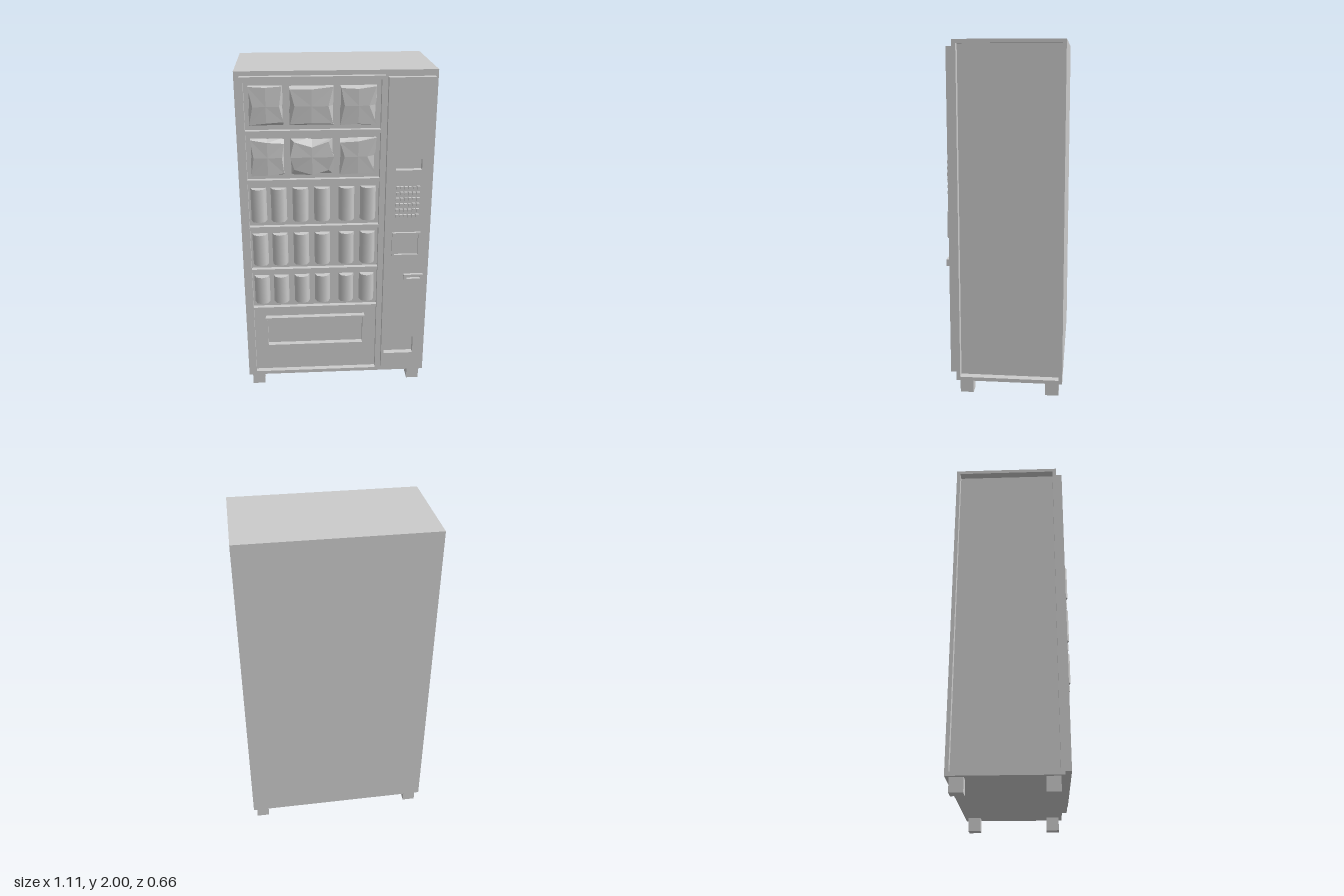
import * as THREE from 'three';

const material = new THREE.MeshStandardMaterial({ color: 0xcccccc });
const flatMaterial = new THREE.MeshStandardMaterial({ color: 0xcccccc, flatShading: true, side: THREE.DoubleSide });

function add(parent, name, geometry, mat = material) {
  const mesh = new THREE.Mesh(geometry, mat);
  mesh.name = name;
  parent.add(mesh);
  return mesh;
}

// Box given by its limits on each axis
function box(parent, name, x0, x1, y0, y1, z0, z1) {
  const mesh = add(parent, name, new THREE.BoxGeometry(x1 - x0, y1 - y0, z1 - z0));
  mesh.position.set((x0 + x1) / 2, (y0 + y1) / 2, (z0 + z1) / 2);
  return mesh;
}

function rect(Type, x0, x1, y0, y1) {
  return new Type([[x0, y0], [x1, y0], [x1, y1], [x0, y1]].map(([x, y]) => new THREE.Vector2(x, y)));
}

// Rectangular plate from z0 to z1 with rectangular openings
function plate(parent, name, outer, holes, z0, z1) {
  const shape = rect(THREE.Shape, ...outer);
  shape.holes = holes.map((h) => rect(THREE.Path, ...h));
  const geometry = new THREE.ExtrudeGeometry(shape, { depth: z1 - z0, bevelEnabled: false });
  geometry.translate(0, 0, z0);
  return add(parent, name, geometry);
}

// Frame of even border width
function frame(parent, name, [x0, x1, y0, y1], b, z0, z1) {
  return plate(parent, name, [x0, x1, y0, y1], [[x0 + b, x1 - b, y0 + b, y1 - b]], z0, z1);
}

// Crumpled bag: rectangular back ring, pinched front ring, slightly puffed centre.
// The pinch list insets the 8 front points (corner, edge middle, ...) in x and y.
function bagGeometry(w, h, pinch, z0, z1) {
  const dirs = [[-1, -1], [0, -1], [1, -1], [1, 0], [1, 1], [0, 1], [-1, 1], [-1, 0]];
  const positions = [], index = [];
  for (const [dx, dy] of dirs) positions.push(dx * w / 2, dy * h / 2, z0);
  dirs.forEach(([dx, dy], i) => {
    const [px, py] = pinch[i];
    positions.push(dx * (w / 2 - px), dy * (h / 2 - py), z1 - (i % 2 ? 0 : 0.006));
  });
  positions.push(0, 0, z1 + 0.002);
  for (let i = 0; i < 8; i++) {
    const j = (i + 1) % 8;
    index.push(i, j, 8 + j, i, 8 + j, 8 + i, 8 + i, 8 + j, 16);
  }
  const geometry = new THREE.BufferGeometry();
  geometry.setAttribute('position', new THREE.Float32BufferAttribute(positions, 3));
  geometry.setIndex(index);
  geometry.computeVertexNormals();
  return geometry;
}

export function createModel() {
  const model = new THREE.Group();
  model.name = 'vendingMachine';

  // Cabinet with a recessed panel on each side
  const cabinet = new THREE.Group();
  cabinet.name = 'cabinet';
  model.add(cabinet);
  box(cabinet, 'cabinetCore', -0.509, 0.509, 0.08, 2, -0.333, 0.275);
  for (const s of [-1, 1]) {
    const rim = frame(cabinet, 'sideRim', [-0.275, 0.333, 0.08, 2], 0.021, 0, 0.045);
    rim.rotation.y = Math.PI / 2;
    rim.position.x = s > 0 ? 0.509 : -0.554;
  }

  // Feet
  for (const s of [-1, 1]) {
    for (const z of [0.218, -0.274]) {
      box(model, 'foot', s * 0.495 - 0.038, s * 0.495 + 0.038, 0, 0.08, z - 0.038, z + 0.038);
    }
  }

  // Display door: frame, back panel and shelves
  const display = new THREE.Group();
  display.name = 'displayDoor';
  model.add(display);
  frame(display, 'doorFrame', [-0.525, 0.263, 0.105, 1.975], 0.021, 0.275, 0.31);
  box(display, 'displayBack', -0.504, 0.242, 0.126, 1.954, 0.27, 0.278);
  for (const [y0, y1] of [[1.658, 1.68], [1.374, 1.396], [1.09, 1.111], [0.817, 0.838], [0.565, 0.581]]) {
    box(display, 'shelf', -0.504, 0.242, y0, y1, 0.275, 0.306);
  }

  // Pickup hatch
  frame(display, 'pickupHatchFrame', [-0.435, 0.17, 0.305, 0.507], 0.012, 0.275, 0.31);

  // Snack bags in two rows of three
  const pinches = [
    [[0, 0.01], [0, 0.02], [0, 0.025], [0.02, 0], [0.005, 0.003], [0, 0.008], [0, 0.003], [0.022, 0]],
    [[0.004, 0.012], [0, 0.018], [0.004, 0.012], [0.03, 0], [0.004, 0.008], [0, 0.02], [0.006, 0.018], [0.03, 0]],
    [[0, 0.004], [0, 0.012], [0, 0.004], [0.043, 0], [0.005, 0.008], [0, 0.02], [0.006, 0.015], [0.025, 0]],
    [[0, 0.002], [0, 0.006], [0.002, 0.015], [0.014, 0], [0, 0.028], [0, 0.02], [0, 0.005], [0.016, 0]],
    [[0.022, 0.035], [0, 0.005], [0.03, 0.03], [0, 0], [0.03, 0.02], [0, 0.05], [0.022, 0.02], [0, 0]],
    [[0, 0.002], [0, 0.01], [0, 0.005], [0.05, 0], [0, 0.002], [0, 0.02], [0, 0.026], [0.026, 0]],
  ];
  const bagColumns = [[-0.387, 0.186], [-0.139, 0.244], [0.118, 0.202]];
  [[1.813, 0.223], [1.525, 0.215]].forEach(([y, h], row) => {
    bagColumns.forEach(([x, w], col) => {
      const bag = add(display, 'snackBag', bagGeometry(w, h, pinches[row * 3 + col], 0.272, 0.306), flatMaterial);
      bag.position.set(x, y, 0);
    });
  });

  // Drink cans in three rows of six
  for (const [y0, y1] of [[1.143, 1.342], [0.867, 1.061], [0.613, 0.788]]) {
    for (const x of [-0.447, -0.332, -0.208, -0.085, 0.056, 0.18]) {
      const can = add(display, 'drinkCan', new THREE.CylinderGeometry(0.046, 0.046, y1 - y0, 8));
      can.position.set(x, (y0 + y1) / 2, 0.276);
    }
  }

  // Control panel with recessed note slot and change tray
  const controls = new THREE.Group();
  controls.name = 'controlPanel';
  model.add(controls);
  const noteSlot = [0.333, 0.482, 1.44, 1.504];
  const changeTray = [0.297, 0.477, 0.228, 0.345];
  plate(controls, 'panelFace', [0.28, 0.538, 0.125, 1.965], [noteSlot, changeTray], 0.275, 0.31);

  // Keypad
  for (let row = 0; row < 6; row++) {
    for (let col = 0; col < 6; col++) {
      const x = 0.338 + col * 0.0239, y = 1.156 + row * 0.0345;
      box(controls, 'key', x, x + 0.017, y, y + 0.018, 0.308, 0.325);
    }
  }

  // Screen bezel and card reader
  frame(controls, 'screenBezel', [0.323, 0.49, 0.907, 1.06], 0.013, 0.308, 0.325);
  plate(controls, 'cardReader', [0.4, 0.516, 0.75, 0.788], [[0.416, 0.5, 0.761, 0.777]], 0.308, 0.33);

  return model;
}
